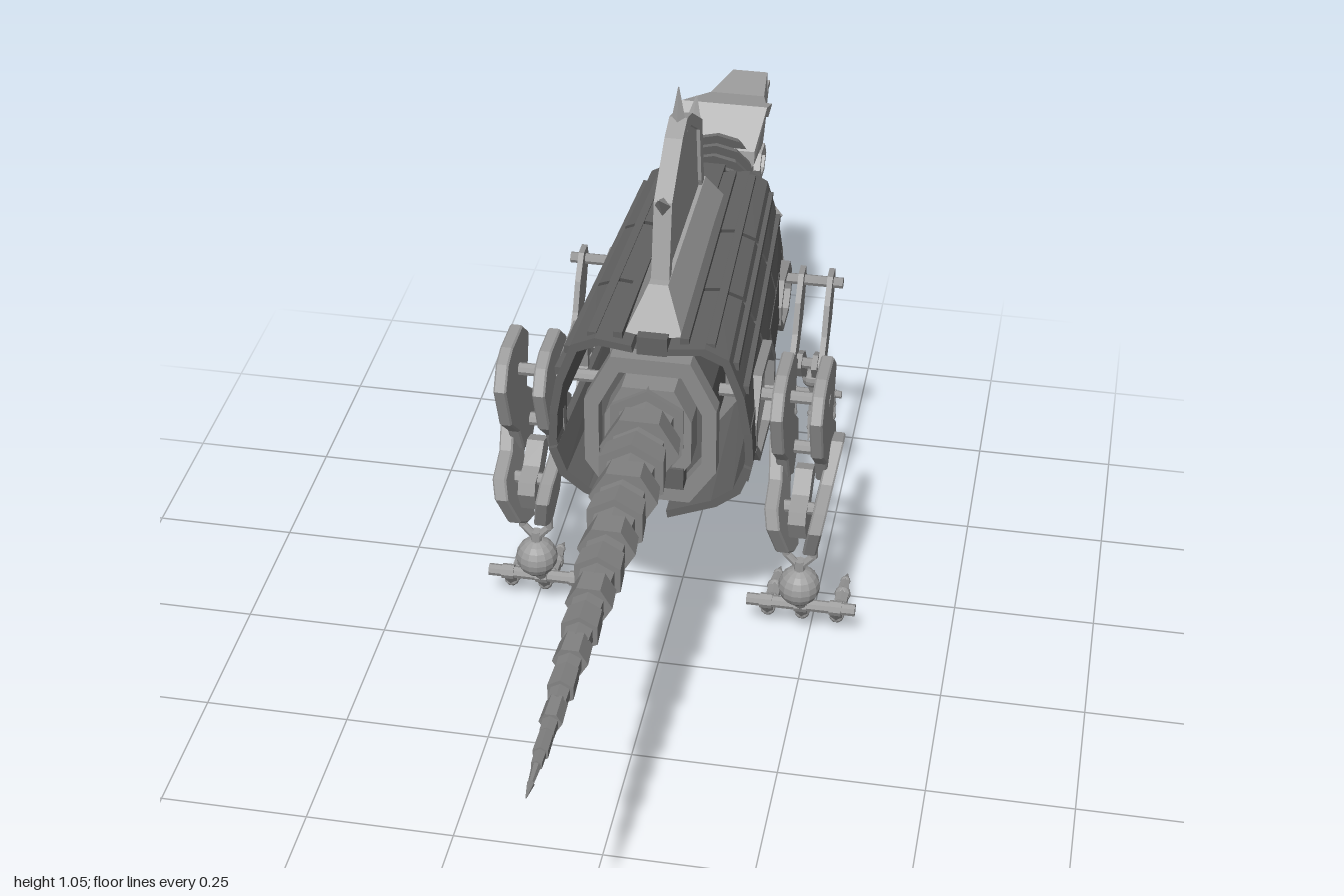
import * as THREE from 'three';

const V = (x, y, z) => new THREE.Vector3(x, y, z);

// Named group whose meshes share one colour
function part(root, name, color) {
  const g = new THREE.Group();
  g.name = name;
  g.userData.material = new THREE.MeshStandardMaterial({ color, flatShading: true });
  root.add(g);
  return g;
}

function add(parent, geo, name) {
  const m = new THREE.Mesh(geo, parent.userData.material);
  m.name = name;
  parent.add(m);
  return m;
}

function box(parent, name, w, h, d, x, y, z) {
  return add(parent, new THREE.BoxGeometry(w, h, d).translate(x, y, z), name);
}

// Tapered rod between two points
function rod(parent, name, a, b, r1, r2 = r1, sides = 8) {
  const geo = new THREE.CylinderGeometry(r2, r1, a.distanceTo(b), sides);
  const m = add(parent, geo, name);
  m.position.copy(a).add(b).multiplyScalar(0.5);
  m.quaternion.setFromUnitVectors(V(0, 1, 0), b.clone().sub(a).normalize());
  return m;
}

// Flat plate drawn as [z, y] points, with thickness along x
function plate(parent, name, pts, x, t, hole, bevel = 0) {
  const shape = new THREE.Shape(pts.map(p => new THREE.Vector2(...p)));
  if (hole) shape.holes.push(new THREE.Path(hole.map(p => new THREE.Vector2(...p))));
  const geo = new THREE.ExtrudeGeometry(shape, { depth: t, bevelEnabled: bevel > 0, bevelSize: bevel, bevelThickness: bevel, bevelOffset: -bevel, bevelSegments: 1 });
  geo.rotateY(-Math.PI / 2).translate(x + t / 2, 0, 0);
  return add(parent, geo, name);
}

const shrink = (pts, k, cx, cy) => pts.map(([x, y]) => [cx + (x - cx) * k, cy + (y - cy) * k]);

// Moves every vertex of a mesh by a rule
function bend(mesh, rule) {
  const p = mesh.geometry.attributes.position, v = V(0, 0, 0);
  for (let i = 0; i < p.count; i++) {
    rule(v.fromBufferAttribute(p, i));
    p.setXYZ(i, v.x, v.y, v.z);
  }
  mesh.geometry.computeVertexNormals();
}

// Body shell narrows toward the head, its seams lean forward
function shellRule(v) {
  v.x *= 1 - 0.2 * Math.min(1, Math.max(0, (0.08 - v.z) / 0.58));
  v.z -= 0.4 * (0.72 - v.y) * Math.max(0, 1 - ((v.z + 0.21) / 0.29) ** 2);
}

// Profile in [x, y] swept along z, either a closed ring or a shell strip
function sweep(parent, name, outer, inner, z0, z1, closed) {
  const v = p => new THREE.Vector2(...p);
  const shape = new THREE.Shape((closed ? outer : [...outer, ...inner.slice().reverse()]).map(v));
  if (closed && inner) shape.holes.push(new THREE.Path(inner.map(v)));
  const geo = new THREE.ExtrudeGeometry(shape, { depth: z0 - z1, bevelEnabled: false });
  return add(parent, geo.translate(0, 0, z1), name);
}

// Skin over loops that run counter-clockwise seen from +z, with z falling
function loft(parent, name, loops) {
  const pos = [], tri = (...p) => p.forEach(q => pos.push(q.x, q.y, q.z));
  const n = loops[0].length, last = loops[loops.length - 1];
  for (let i = 0; i < loops.length - 1; i++) for (let j = 0; j < n; j++) {
    const k = (j + 1) % n, a = loops[i][j], b = loops[i][k], c = loops[i + 1][k], d = loops[i + 1][j];
    tri(a, d, c); tri(a, c, b);
  }
  for (let j = 1; j < n - 1; j++) {
    tri(loops[0][0], loops[0][j], loops[0][j + 1]);
    tri(last[0], last[j + 1], last[j]);
  }
  const geo = new THREE.BufferGeometry();
  geo.setAttribute('position', new THREE.Float32BufferAttribute(pos, 3));
  geo.computeVertexNormals();
  return add(parent, geo, name);
}

// Six-sided loop: bottom, middle and top half-widths
const hexLoop = (z, yb, wb, ym, wm, yt, wt) => [V(-wb, yb, z), V(wb, yb, z), V(wm, ym, z), V(wt, yt, z), V(-wt, yt, z), V(-wm, ym, z)];

function buildBody(root) {
  const frame = part(root, 'bodyFrame', 0x8c8c8c), shell = part(root, 'bodyShell', 0x626262);
  const core = [[-0.06, 0.43], [0.06, 0.43], [0.1, 0.49], [0.1, 0.6], [0.06, 0.68], [-0.06, 0.68], [-0.1, 0.6], [-0.1, 0.49]];
  sweep(shell, 'core', shrink(core, 0.9, 0, 0.56), null, 0.04, -0.48, true);
  // Hoop frames around the core
  for (const z of [0.075, -0.14, -0.3, -0.47]) sweep(frame, 'hoop', shrink(core, 1.1, 0, 0.56), shrink(core, 0.86, 0, 0.56), z, z - 0.03, true);
  sweep(frame, 'tailSocket', shrink(core, 0.72, 0, 0.57), shrink(core, 0.56, 0, 0.57), 0.095, 0.03, true);
  box(shell, 'rearBlock', 0.12, 0.04, 0.03, 0, 0.48, 0.085);
  loft(shell, 'chest', [hexLoop(-0.48, 0.45, 0.06, 0.56, 0.1, 0.69, 0.06), hexLoop(-0.53, 0.54, 0.045, 0.61, 0.07, 0.69, 0.045)]);
  box(shell, 'spine', 0.05, 0.05, 0.58, 0, 0.7, -0.23);

  for (const s of [1, -1]) {
    const side = pts => pts.map(([x, y]) => [x * s, y]);
    const strip = (name, pts, z0, z1) => bend(sweep(shell, name, pts, shrink(pts, 0.92, 0, 0.56), z0, z1), shellRule);
    const upper = side([[0.03, 0.72], [0.09, 0.728], [0.13, 0.71], [0.156, 0.64], [0.168, 0.57]]);
    const middle = side([[0.168, 0.58], [0.172, 0.51], [0.164, 0.47]]);
    const lower = side([[0.17, 0.5], [0.152, 0.45], [0.112, 0.418], [0.03, 0.385]]);
    for (const [z0, z1] of [[0.08, -0.1], [-0.11, -0.29], [-0.3, -0.5]]) strip('upperShell', upper, z0, z1);
    for (const [z0, z1] of [[0.075, 0.03], [-0.17, -0.37], [-0.47, -0.5]]) strip('sidePanel', middle, z0, z1);
    for (const [z0, z1] of [[0.08, -0.18], [-0.19, -0.48]]) strip('lowerBlade', lower, z0, z1);
    // Long ribs on the shell
    for (const [x, y] of [[0.055, 0.727], [0.098, 0.722], [0.137, 0.69], [0.154, 0.645]]) bend(box(shell, 'shellRib', 0.015, 0.015, 0.55, x * s, y, -0.21), shellRule);
    // Frames around the leg openings
    const hip = [[0.03, 0.5], [0.03, 0.56], [-0.02, 0.62], [-0.13, 0.62], [-0.18, 0.56], [-0.18, 0.5], [-0.13, 0.45], [-0.02, 0.45]];
    plate(frame, 'hipFrame', hip, 0.162 * s, 0.016, shrink(hip, 0.86, -0.075, 0.535));
    const arm = shrink(hip, 0.62, -0.075, 0.535).map(([z, y]) => [z - 0.355, y - 0.015]);
    plate(frame, 'shoulderFrame', arm, 0.145 * s, 0.016, shrink(arm, 0.82, -0.43, 0.52));
    // Slanted struts at the front of the shell
    rod(frame, 'frontStrut', V(0.125 * s, 0.64, -0.49), V(0.055 * s, 0.7, -0.53), 0.012, 0.012, 4);
    rod(frame, 'frontStrut', V(0.13 * s, 0.56, -0.49), V(0.1 * s, 0.43, -0.47), 0.012, 0.012, 4);
  }
}

function buildSail(root) {
  const g = part(root, 'sail', 0xa4a4a4);
  const outline = [[0, 0.76], [-0.015, 0.79], [-0.04, 0.92], [-0.135, 0.985], [-0.18, 1], [-0.225, 0.985], [-0.325, 0.92], [-0.35, 0.79], [-0.365, 0.76]];
  const inner = shrink(outline, 0.84, -0.18, 0.87);
  plate(g, 'sailRim', outline, 0, 0.03, inner);
  plate(g, 'sailPanel', inner, 0, 0.018);
  // Sloping skirt between sail and back
  const skirt = (y, w, z0, z1) => [V(-w, y, z1), V(w, y, z1), V(w, y, z0), V(-w, y, z0)];
  loft(g, 'sailSkirt', [skirt(0.72, 0.048, 0.045, -0.41), skirt(0.79, 0.016, 0, -0.36)]);
  for (const [a, b] of [[[-0.18, 0.975], [-0.18, 1.055]], [[-0.045, 0.91], [0, 0.947]], [[-0.32, 0.91], [-0.355, 0.947]]]) {
    rod(g, 'sailSpike', V(0, a[1], a[0]), V(0, b[1], b[0]), 0.015, 0.001, 4);
  }
}

function buildHead(root) {
  const g = part(root, 'head', 0xaaaaaa);
  loft(g, 'skull', [
    hexLoop(-0.59, 0.665, 0.05, 0.69, 0.066, 0.715, 0.066),
    hexLoop(-0.655, 0.65, 0.058, 0.7, 0.072, 0.772, 0.078),
    hexLoop(-0.81, 0.632, 0.044, 0.66, 0.053, 0.71, 0.05),
    hexLoop(-0.965, 0.607, 0.03, 0.635, 0.036, 0.678, 0.033),
    hexLoop(-1, 0.615, 0.022, 0.63, 0.028, 0.645, 0.027)
  ]);
  loft(g, 'jaw', [
    hexLoop(-0.605, 0.63, 0.035, 0.65, 0.05, 0.67, 0.05),
    hexLoop(-0.69, 0.598, 0.035, 0.625, 0.052, 0.655, 0.052),
    hexLoop(-0.82, 0.584, 0.028, 0.605, 0.042, 0.63, 0.042),
    hexLoop(-0.965, 0.592, 0.018, 0.6, 0.028, 0.608, 0.028)
  ]);
  for (const s of [1, -1]) {
    const cheek = [[-0.62, 0.66], [-0.64, 0.685], [-0.68, 0.685], [-0.7, 0.655], [-0.68, 0.63], [-0.64, 0.63]];
    plate(g, 'cheekRing', cheek, 0.062 * s, 0.02, shrink(cheek, 0.7, -0.66, 0.657));
    plate(g, 'brow', [[-0.68, 0.75], [-0.8, 0.702], [-0.75, 0.7]], 0.06 * s, 0.014);
    box(g, 'nostril', 0.01, 0.012, 0.025, 0.033 * s, 0.655, -0.955);
  }
  // Stacked neck rings leaning forward
  const neck = part(root, 'neck', 0x747474);
  for (let i = 0; i < 6; i++) {
    const p = V(0, 0.63 + i * 0.011, -0.51 - i * 0.019);
    rod(neck, 'neckRing', p, p.clone().add(V(0, 0.004, -0.011)), 0.07 - i * 0.001, 0.064 - i * 0.001, 10);
  }
  rod(neck, 'neckCore', V(0, 0.62, -0.48), V(0, 0.69, -0.63), 0.05, 0.046, 8);
}

function buildTail(root) {
  const g = part(root, 'tail', 0x848484);
  const n = 14, z0 = 0.06, len = 0.94 / n;
  for (let i = 0; i < n; i++) {
    const z = z0 + i * len, r = 0.067 * (1 - i / n) + 0.003, y = 0.582 - 0.007 * i / n;
    const seg = rod(g, 'tailSegment', V(0, y, z), V(0, y, z + len * 0.68), r * 0.92, i === n - 1 ? 0.004 : r, 6);
    seg.rotateY(i % 2 * Math.PI / 6);
    rod(g, 'tailJoint', V(0, y, z + len * 0.6), V(0, y, z + len * 1.05), r * 0.74, i === n - 1 ? 0.001 : r * 0.7, 6);
  }
}

// Crossbar with three jointed claws; path holds [z, y, radius] from bar to tip
function claws(g, x, halfBar, spread, barR, path) {
  const [bz, by] = path[0];
  rod(g, 'toeBar', V(x - halfBar, by, bz), V(x + halfBar, by, bz), barR);
  for (const k of [-1, 0, 1]) {
    const cx = x + k * spread;
    rod(g, 'toeCollar', V(cx - barR, by, bz), V(cx + barR, by, bz), barR * 1.25);
    for (let i = 0; i < path.length - 1; i++) {
      const [z, y, r] = path[i], [z2, y2, r2] = path[i + 1];
      rod(g, 'claw', V(cx, y, z), V(cx, y2, z2), r, r2, 6);
      if (i) add(g, new THREE.IcosahedronGeometry(r * 1.15, 1).translate(cx, y, z), 'clawJoint');
    }
  }
}

function buildHindLeg(root, s) {
  const g = part(root, s > 0 ? 'leftHindLeg' : 'rightHindLeg', 0x9c9c9c);
  const x = 0.235 * s;
  const thigh = [[0.02, 0.56], [-0.005, 0.6], [-0.04, 0.612], [-0.115, 0.61], [-0.16, 0.57], [-0.135, 0.475], [-0.19, 0.43], [-0.205, 0.375], [-0.15, 0.335], [-0.1, 0.365], [-0.07, 0.42], [-0.015, 0.47]];
  for (const px of [0.2, 0.266]) plate(g, 'thighPlate', thigh, px * s, 0.016, null, 0.003);
  rod(g, 'hipAxle', V(0.09 * s, 0.545, -0.08), V(0.278 * s, 0.545, -0.08), 0.011);
  rod(g, 'kneeAxle', V(0.178 * s, 0.395, -0.15), V(0.29 * s, 0.395, -0.15), 0.012);
  rod(g, 'shinAxle', V(0.19 * s, 0.34, -0.05), V(0.282 * s, 0.34, -0.05), 0.011);
  // Shin plates close in toward the ankle
  const shin = [[0.018, 0.335], [0.005, 0.37], [-0.06, 0.385], [-0.12, 0.435], [-0.17, 0.42], [-0.175, 0.38], [-0.1, 0.325], [-0.125, 0.27], [-0.1, 0.222], [-0.06, 0.235], [-0.02, 0.262]];
  for (const k of [-1, 1]) {
    bend(plate(g, 'shinPlate', shin, 0, 0.018, null, 0.003), v => { v.x += x + k * (0.016 + 0.17 * (v.y - 0.22)); });
    rod(g, 'ankleFork', V(x + k * 0.024, 0.27, -0.08), V(x + k * 0.024, 0.21, -0.085), 0.007);
    rod(g, 'ankleFork', V(x + k * 0.024, 0.212, -0.085), V(x, 0.185, -0.085), 0.007);
  }
  plate(g, 'shinCore', shrink(shin, 0.6, -0.07, 0.31), x, 0.03);
  rod(g, 'anklePost', V(x, 0.2, -0.085), V(x, 0.14, -0.085), 0.01);
  add(g, new THREE.SphereGeometry(0.037, 14, 10).translate(x, 0.145, -0.085), 'ankleBall');
  rod(g, 'footPost', V(x, 0.125, -0.09), V(x, 0.075, -0.12), 0.012);
  claws(g, x, 0.097, 0.062, 0.011, [[-0.12, 0.075, 0.012], [-0.145, 0.04, 0.012], [-0.19, 0.022, 0.013], [-0.235, 0.019, 0.013], [-0.275, 0.018, 0.008], [-0.31, 0.007, 0.001]]);
}

function buildArm(root, s) {
  const g = part(root, s > 0 ? 'leftArm' : 'rightArm', 0x949494);
  const x = 0.2 * s;
  const upper = [[-0.46, 0.55], [-0.49, 0.55], [-0.5, 0.525], [-0.47, 0.46], [-0.41, 0.4], [-0.375, 0.395], [-0.36, 0.42], [-0.4, 0.46], [-0.425, 0.51]];
  const fore = [[-0.36, 0.415], [-0.385, 0.43], [-0.42, 0.415], [-0.465, 0.36], [-0.46, 0.34], [-0.44, 0.345], [-0.38, 0.385]];
  for (const k of [-1, 1]) {
    plate(g, 'upperArmPlate', upper, x + k * 0.026, 0.01);
    plate(g, 'forearmPlate', fore, x + k * 0.014, 0.01);
  }
  rod(g, 'shoulderAxle', V(0.08 * s, 0.53, -0.475), V(0.248 * s, 0.53, -0.475), 0.01);
  rod(g, 'elbowAxle', V(x - 0.035, 0.412, -0.385), V(x + 0.035, 0.412, -0.385), 0.01);
  add(g, new THREE.SphereGeometry(0.019, 12, 8).translate(x, 0.33, -0.463), 'wristBall');
  rod(g, 'handPost', V(x, 0.33, -0.463), V(x, 0.29, -0.475), 0.007);
  claws(g, x, 0.054, 0.036, 0.007, [[-0.475, 0.29, 0.007], [-0.484, 0.262, 0.007], [-0.478, 0.24, 0.008], [-0.46, 0.222, 0.006], [-0.432, 0.212, 0.001]]);
}

export function createModel() {
  const root = new THREE.Group();
  root.name = 'sailBackedMechanicalDinosaur';
  buildBody(root);
  buildSail(root);
  buildHead(root);
  buildTail(root);
  for (const s of [1, -1]) {
    buildHindLeg(root, s);
    buildArm(root, s);
  }
  return root;
}
